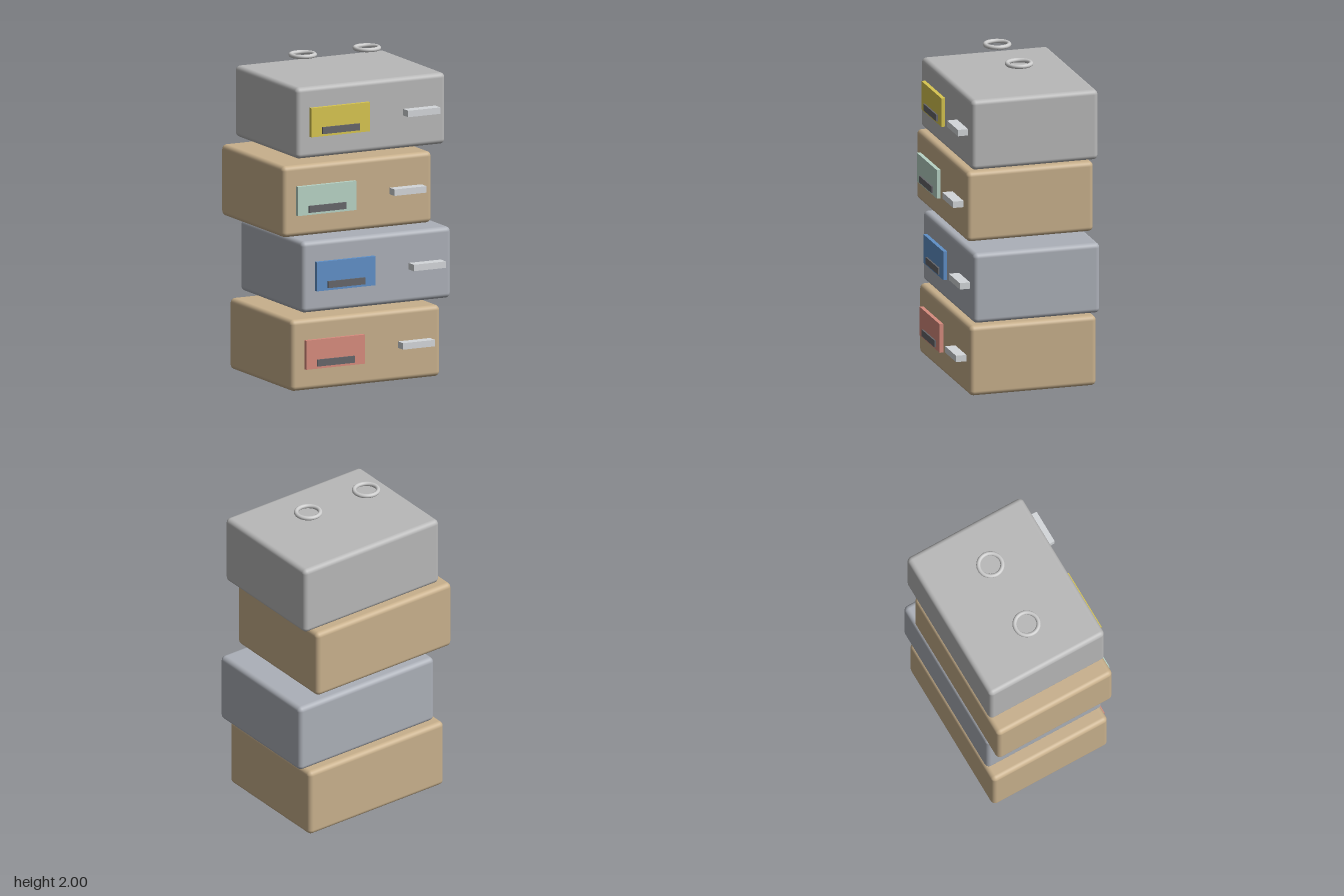
import * as THREE from 'three';
import { RoundedBoxGeometry } from 'three/addons/geometries/RoundedBoxGeometry.js';

const material = (color) => new THREE.MeshStandardMaterial({ color });
const handleMaterial = material(0xd4d7da);
const slotMaterial = material(0x66666a);
const ringMaterial = material(0xcccccc);

const HEIGHT = 0.44, STEP = 0.478, CENTER_Z = -0.033;

// Each box from the bottom up: sideways shift, body colour, label colour
const BOXES = [
  { x: -0.011, body: 0xc8b08c, label: 0xd88c7e },
  { x: 0.063, body: 0xacb0b8, label: 0x6090c8 },
  { x: -0.069, body: 0xc8b08c, label: 0xb8d4c6 },
  { x: 0.025, body: 0xb8b8b8, label: 0xd8c650 },
];

function addMesh(parent, name, geometry, mat, x, y, z) {
  const mesh = new THREE.Mesh(geometry, mat);
  mesh.name = name;
  mesh.position.set(x, y, z);
  parent.add(mesh);
  return mesh;
}

function createBox({ x, body, label }) {
  const box = new THREE.Group();
  box.name = 'storageBox';
  box.position.x = x;
  addMesh(box, 'body', new RoundedBoxGeometry(1.025, HEIGHT, 0.806, 4, 0.03), material(body), 0, 0, CENTER_Z);
  // Front fittings
  addMesh(box, 'label', new THREE.BoxGeometry(0.402, 0.18, 0.03), material(label), -0.222, 0.003, 0.379);
  addMesh(box, 'slot', new THREE.BoxGeometry(0.255, 0.042, 0.016), slotMaterial, -0.222, -0.051, 0.396);
  addMesh(box, 'handle', new THREE.BoxGeometry(0.22, 0.04, 0.07), handleMaterial, 0.329, 0.004, 0.4);
  return box;
}

export function createModel() {
  const model = new THREE.Group();
  model.name = 'boxStack';

  BOXES.forEach((spec, i) => {
    const box = createBox(spec);
    box.position.y = HEIGHT / 2 + i * STEP;
    model.add(box);
  });

  // Two rings hovering above the top box
  const ringGeometry = new THREE.TorusGeometry(0.073, 0.0133, 16, 48).rotateX(Math.PI / 2);
  for (const side of [-1, 1]) {
    addMesh(model, 'ring', ringGeometry, ringMaterial, -0.011 + side * 0.22, 1.987, -0.034);
  }
  return model;
}
